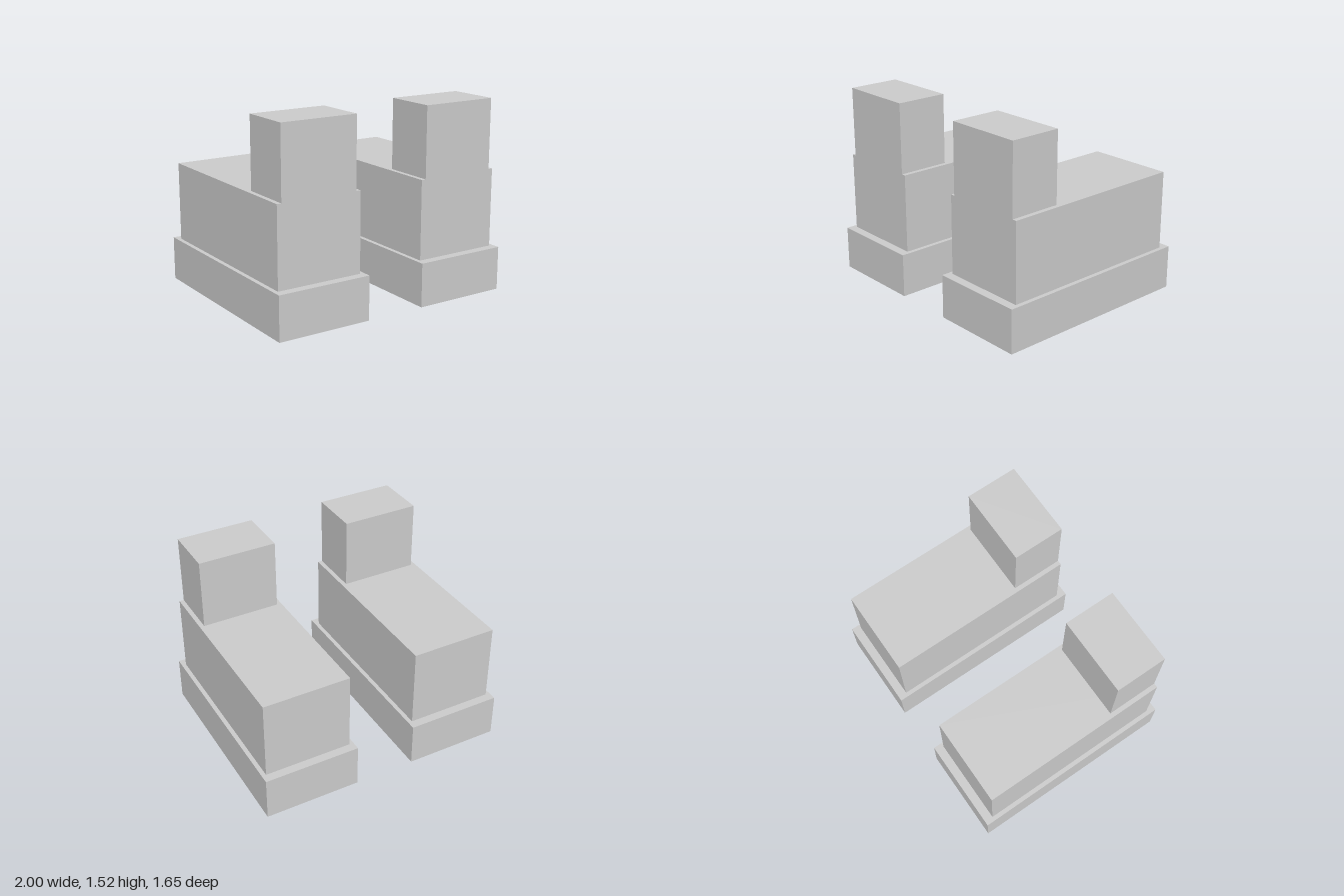
import * as THREE from 'three';

const material = new THREE.MeshStandardMaterial({ color: 0xcccccc, flatShading: true });

// Box resting on yBottom, spanning the given heights and depths
function block(name, width, yBottom, yTop, zBack, zFront) {
  const geometry = new THREE.BoxGeometry(width, yTop - yBottom, zFront - zBack);
  const mesh = new THREE.Mesh(geometry, material);
  mesh.name = name;
  mesh.position.set(0, (yBottom + yTop) / 2, (zBack + zFront) / 2);
  return mesh;
}

// One stepped unit: wide base, long body, upright block flush with the front
function createUnit(name) {
  const unit = new THREE.Group();
  unit.name = name;
  unit.add(
    block('base', 0.758, 0, 0.345, -0.827, 0.827),
    block('body', 0.69, 0.345, 0.967, -0.758, 0.758),
    block('upright', 0.618, 0.967, 1.52, 0.345, 0.758),
  );
  return unit;
}

export function createModel() {
  const model = new THREE.Group();
  model.name = 'steppedPair';
  for (const [name, side] of [['leftUnit', 1], ['rightUnit', -1]]) {
    const unit = createUnit(name);
    unit.position.x = side * 0.621;
    model.add(unit);
  }
  return model;
}
